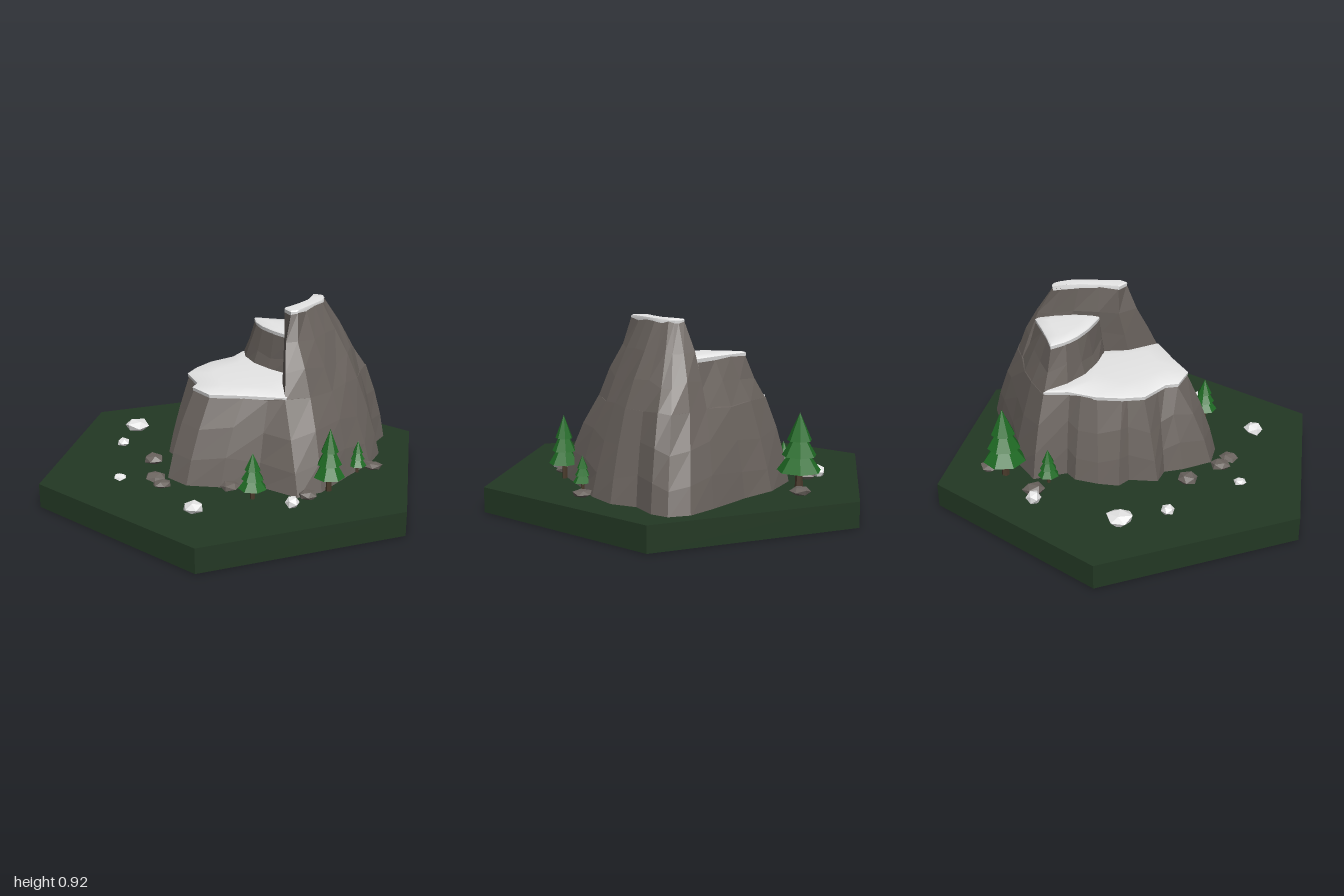
import * as THREE from 'three';
import { toCreasedNormals } from 'three/addons/utils/BufferGeometryUtils.js';

const mat = (name, color) => {
  const m = new THREE.MeshStandardMaterial({ color });
  m.name = name;
  return m;
};

// Joins rings of [x, y, z] points (counter-clockwise from above) and closes the top
function loft(rings, crease = 0) {
  const n = rings[0].length, index = [];
  for (let r = 0; r < rings.length - 1; r++) {
    for (let i = 0; i < n; i++) {
      const a = r * n + i, b = r * n + (i + 1) % n;
      index.push(a, b, b + n, a, b + n, a + n);
    }
  }
  const last = (rings.length - 1) * n;
  const outline = rings[rings.length - 1].map(p => new THREE.Vector2(p[0], -p[2]));
  for (const f of THREE.ShapeUtils.triangulateShape(outline, [])) index.push(...f.map(i => i + last));
  const g = new THREE.BufferGeometry();
  g.setAttribute('position', new THREE.Float32BufferAttribute(rings.flat(2), 3));
  g.setIndex(index);
  if (crease) return toCreasedNormals(g, crease);
  const flat = g.toNonIndexed();
  flat.computeVertexNormals();
  return flat;
}

// Picks the column pair k from a table of rows and places it at height y
const ring = (rows, k, y) => rows.map((p, i) => [p[2 * k], y + 0.006 * Math.sin(i * 2.3), p[2 * k + 1]]);
const mix = (a, b, t, y) => a.map((p, i) => [
  p[0] + (b[i][0] - p[0]) * t, y + 0.02 * Math.sin(i * 1.7), p[2] + (b[i][2] - p[2]) * t]);

// Snow sheet with a short rim and a gently raised middle
function snowSheet(outline, y, cx, cz, rise) {
  const at = (s, h) => outline.map(([x, z]) => [cx + (x - cx) * s, h, cz + (z - cz) * s]);
  return loft([at(1.01, y - 0.02), at(1.02, y - 0.003), at(0.97, y + 0.003), at(0.6, y + rise)], 0.7);
}

export function createModel() {
  const model = new THREE.Group();
  const ground = mat('dark grass', 0x233824), rock = mat('rock', 0x6b645f);
  const snow = mat('snow', 0xf0f0f0), leaf = mat('pine green', 0x1f6b24), bark = mat('bark', 0x4a3b2c);
  const add = (name, geometry, material, parent = model) => {
    const m = new THREE.Mesh(geometry, material);
    m.name = name;
    parent.add(m);
    return m;
  };
  const flat = g => {
    const f = g.index ? g.toNonIndexed() : g;
    f.computeVertexNormals();
    return f;
  };

  // Hexagonal base
  const hex = flat(new THREE.CylinderGeometry(1, 1, 0.12, 6));
  hex.rotateY(Math.PI / 6).translate(0, 0.06, 0);
  add('base', hex, ground);

  // Lower cliff: foot x, z and rim x, z
  const lower = [
    [0.05, 0.43, 0.065, 0.27], [0.19, 0.34, 0.2, 0.18], [0.32, 0.22, 0.3, 0.125], [0.54, 0.2, 0.37, 0.085],
    [0.59, 0.08, 0.44, -0.02], [0.58, -0.15, 0.455, -0.18], [0.58, -0.35, 0.45, -0.3], [0.54, -0.5, 0.44, -0.42],
    [0.45, -0.59, 0.39, -0.52], [0.43, -0.72, 0.36, -0.62], [0.38, -0.79, 0.31, -0.65], [0.28, -0.8, 0.22, -0.64],
    [0.15, -0.74, 0.12, -0.59], [-0.05, -0.63, -0.02, -0.54], [-0.22, -0.56, -0.15, -0.47], [-0.38, -0.42, -0.27, -0.38],
    [-0.3, -0.27, -0.235, -0.26], [-0.35, -0.22, -0.26, -0.2], [-0.37, -0.1, -0.265, -0.12], [-0.37, 0.0, -0.255, 0.0],
    [-0.31, 0.04, -0.23, 0.02], [-0.3, 0.18, -0.225, 0.1], [-0.21, 0.2, -0.13, 0.15], [-0.17, 0.29, -0.09, 0.18],
    [-0.08, 0.42, -0.065, 0.24]];
  const foot = lower.map(p => [p[0], 0.11, p[1]]), rim = ring(lower, 1, 0.528);
  add('lowerCliff', loft([foot, mix(foot, rim, 0.22, 0.24), mix(foot, rim, 0.55, 0.38), rim]), rock);

  // Middle cliff
  const middle = [
    [-0.27, -0.38, -0.17, -0.36], [-0.18, -0.28, -0.11, -0.3], [-0.07, -0.21, -0.04, -0.26], [0.05, -0.18, 0.06, -0.225],
    [0.2, -0.17, 0.2, -0.2], [0.3, -0.2, 0.26, -0.2], [0.3, -0.6, 0.22, -0.48], [0.12, -0.59, 0.13, -0.51],
    [-0.02, -0.54, 0.02, -0.45], [-0.15, -0.47, -0.08, -0.4]];
  const m0 = ring(middle, 0, 0.522), m1 = ring(middle, 1, 0.73);
  add('middleCliff', loft([m0, mix(m0, m1, 0.55, 0.62), m1]), rock);

  // Summit ridge: low, middle and crest outlines
  const ridge = [
    [0.37, 0.085, 0.29, -0.02, 0.28, -0.07], [0.44, -0.02, 0.33, -0.06, 0.3, -0.1],
    [0.455, -0.18, 0.35, -0.17, 0.29, -0.18], [0.45, -0.3, 0.34, -0.27, 0.28, -0.26],
    [0.44, -0.42, 0.33, -0.37, 0.27, -0.34], [0.39, -0.52, 0.3, -0.44, 0.25, -0.38],
    [0.36, -0.62, 0.275, -0.49, 0.23, -0.41], [0.31, -0.65, 0.25, -0.51, 0.21, -0.43],
    [0.22, -0.64, 0.2, -0.52, 0.19, -0.43], [0.12, -0.59, 0.14, -0.5, 0.16, -0.42],
    [0.15, -0.45, 0.16, -0.44, 0.18, -0.38], [0.22, -0.33, 0.2, -0.33, 0.21, -0.3],
    [0.22, -0.18, 0.2, -0.2, 0.22, -0.2], [0.25, -0.05, 0.22, -0.1, 0.22, -0.1]];
  const r0 = ring(ridge, 0, 0.522), r1 = ring(ridge, 1, 0.77), r2 = ring(ridge, 2, 0.9);
  add('summitRidge', loft([r0, mix(r0, r1, 0.45, 0.64), r1, r2]), rock);

  // Snow on the three levels
  add('lowerSnow', snowSheet([
    [0.065, 0.27], [0.2, 0.18], [0.37, 0.08], [0.3, -0.1], [0.23, -0.28], [-0.08, -0.29], [-0.26, -0.375],
    [-0.235, -0.26], [-0.265, -0.12], [-0.255, 0], [-0.225, 0.1], [-0.09, 0.18], [-0.065, 0.24]], 0.543, 0.05, -0.02, 0.012), snow);
  add('middleSnow', snowSheet([
    [-0.17, -0.36], [-0.11, -0.3], [-0.04, -0.26], [0.06, -0.225], [0.2, -0.2], [0.25, -0.2], [0.21, -0.47],
    [0.13, -0.51], [0.02, -0.45], [-0.08, -0.4]], 0.745, 0.08, -0.34, 0.008), snow);
  add('summitSnow', snowSheet(ridge.map(p => [p[4], p[5]]), 0.911, 0.245, -0.24, 0.004), snow);

  // Pine trees: x, z, top height, radius
  const trees = [[-0.355, -0.565, 0.48, 0.105], [-0.39, -0.34, 0.3, 0.052], [0.38, 0.335, 0.345, 0.068],
    [0.6, 0.04, 0.43, 0.075], [0.585, -0.225, 0.285, 0.045]];
  for (const [x, z, top, r] of trees) {
    const tree = new THREE.Group(), h = top - 0.12;
    tree.name = 'pineTree';
    tree.position.set(x, 0.12, z);
    const trunk = add('trunk', flat(new THREE.CylinderGeometry(r * 0.15, r * 0.18, h * 0.4, 6)), bark, tree);
    trunk.position.y = h * 0.2;
    for (let i = 0; i < 3; i++) {
      const tall = h * (0.4 - i * 0.02);
      const cone = add('branches', flat(new THREE.ConeGeometry(r * (1 - i * 0.22), tall, 7)), leaf, tree);
      cone.position.y = h * (0.24 + i * 0.2) + tall / 2;
      cone.rotation.y = i * 0.9 + x * 5;
    }
    tree.children[3].position.y = h - h * 0.18;
    model.add(tree);
  }

  // Loose stones: x, z, radius, height above the grass
  const boulders = (name, list, material) => list.forEach(([x, z, r, h], k) => {
    const g = new THREE.IcosahedronGeometry(1, 0), p = g.attributes.position;
    for (let i = 0; i < p.count; i++) {
      const a = p.getX(i), b = p.getY(i), c = p.getZ(i);
      const s = 1 + 0.1 * Math.sin(5 * a + 3 * b + 7 * c + k);
      p.setXYZ(i, a * s, b * s, c * s);
    }
    g.rotateY(k * 1.3).scale(r, h * 0.65, r);
    add(name, flat(g), material).position.set(x, 0.12 + h * 0.4, z);
  });
  boulders('boulder', [[-0.32, -0.655, 0.05, 0.035], [-0.485, -0.39, 0.052, 0.04], [-0.27, 0.32, 0.052, 0.04],
    [-0.115, 0.47, 0.052, 0.035], [-0.035, 0.505, 0.048, 0.03], [0.23, 0.32, 0.052, 0.035],
    [0.615, -0.32, 0.048, 0.03], [0.57, 0.165, 0.045, 0.035]], rock);
  boulders('snowyBoulder', [[-0.66, 0.055, 0.066, 0.052], [-0.565, -0.37, 0.035, 0.055], [-0.55, 0.26, 0.034, 0.035],
    [-0.25, 0.575, 0.032, 0.025], [0.26, 0.61, 0.05, 0.05], [0.57, 0.285, 0.037, 0.05]], snow);
  return model;
}
